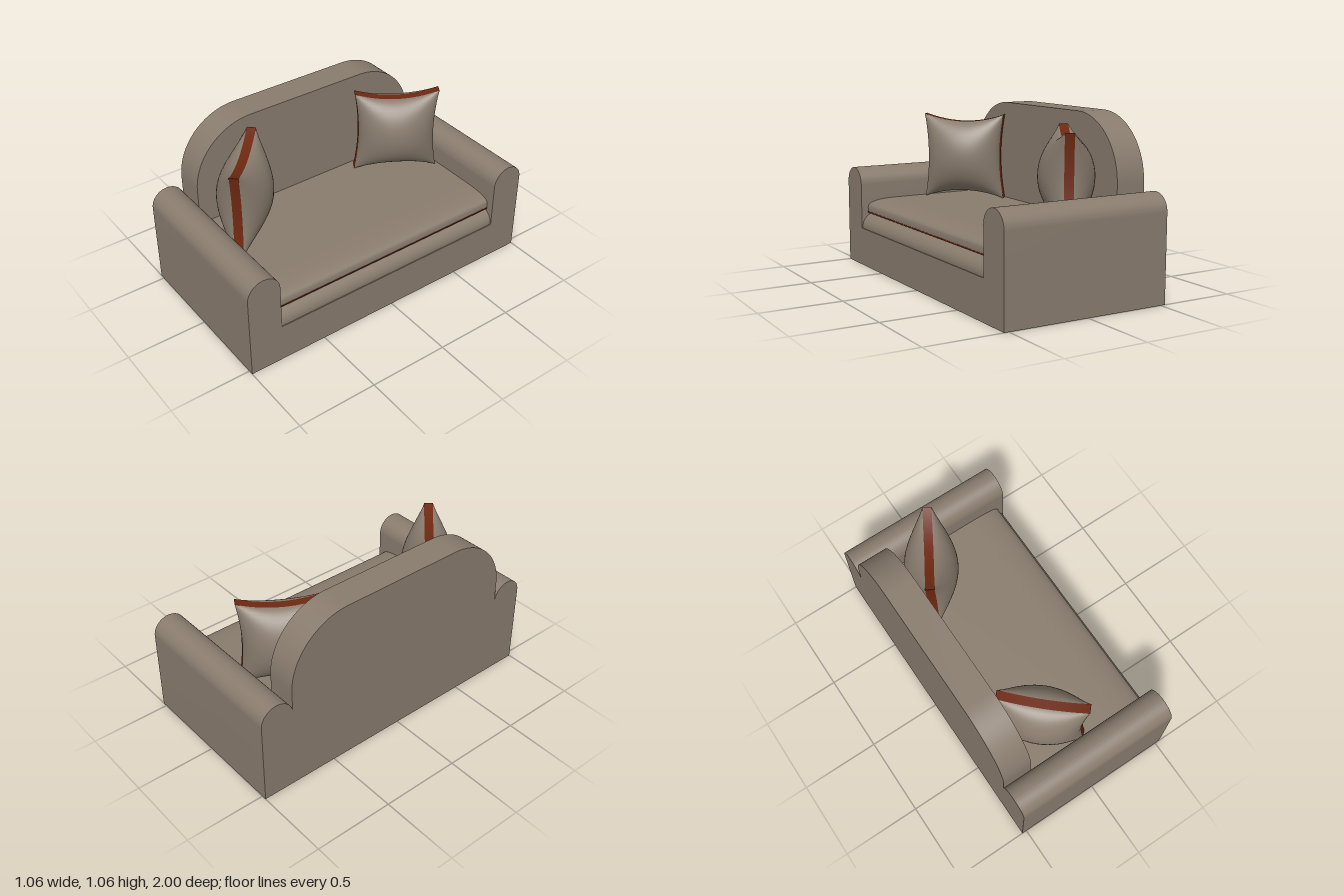
import * as THREE from 'three';
import { toCreasedNormals } from 'three/addons/utils/BufferGeometryUtils.js';

const fabric = new THREE.MeshStandardMaterial({ color: 0x897c6e });
fabric.name = 'taupe fabric';
const trim = new THREE.MeshStandardMaterial({ color: 0x6e2810 });
trim.name = 'rust trim';

const HALF_DEPTH = 0.53, INNER = 0.79, BASE = 0.245;

function addMesh(parent, name, geometry, material) {
  const mesh = new THREE.Mesh(geometry, material);
  mesh.name = name;
  parent.add(mesh);
  return mesh;
}

function extrude(shape, depth) {
  const geo = new THREE.ExtrudeGeometry(shape, { depth, bevelEnabled: false, curveSegments: 24 });
  return toCreasedNormals(geo, 0.6);
}

// Side-to-side outline (z, y) swept along x
function sweepX(shape, x0, x1) {
  return extrude(shape, x1 - x0).rotateY(Math.PI / 2).translate(x0, 0, 0);
}

// Front-to-back outline (x, y) swept across the seat
function sweepZ(shape) {
  const w = INNER - 0.002;
  return extrude(shape, 2 * w).translate(0, 0, -w);
}

// Base and both round-topped arms in one outline
function frameShape() {
  const r = (1 - INNER) / 2, mid = 1 - r, spring = 0.53;
  const s = new THREE.Shape();
  s.moveTo(-1, 0);
  s.lineTo(1, 0);
  s.lineTo(1, spring);
  s.absarc(mid, spring, r, 0, Math.PI, false);
  s.lineTo(INNER, BASE);
  s.lineTo(-INNER, BASE);
  s.lineTo(-INNER, spring);
  s.absarc(-mid, spring, r, 0, Math.PI, false);
  s.lineTo(-1, 0);
  return s;
}

// Backrest with large rounded shoulders
function backShape() {
  const r = 0.39, top = 1.06;
  const s = new THREE.Shape();
  s.moveTo(-INNER, BASE);
  s.lineTo(INNER, BASE);
  s.lineTo(INNER, top - r);
  s.absarc(INNER - r, top - r, r, 0, Math.PI / 2, false);
  s.lineTo(r - INNER, top);
  s.absarc(r - INNER, top - r, r, Math.PI / 2, Math.PI, false);
  s.lineTo(-INNER, BASE);
  return s;
}

// Lower seat pad, its front swelling outwards
function lowerPadShape() {
  const s = new THREE.Shape();
  s.moveTo(-0.34, BASE);
  s.lineTo(0.525, BASE);
  s.bezierCurveTo(0.53, 0.29, 0.5, 0.325, 0.455, 0.346);
  s.lineTo(-0.34, 0.346);
  return s;
}

// Upper seat pad, its top easing down to the front
function upperPadShape() {
  const s = new THREE.Shape();
  s.moveTo(-0.34, 0.354);
  s.lineTo(0.485, 0.354);
  s.lineTo(0.485, 0.385);
  s.bezierCurveTo(0.48, 0.415, 0.42, 0.432, 0.28, 0.432);
  s.lineTo(-0.34, 0.432);
  return s;
}

// Pillow outline with pinched sides; u and v run from -1 to 1
const PW = 0.265, PH = 0.275, RIM = 0.0275, N = 24;
const ease = (t) => Math.sin(t * Math.PI / 2);
function pillowPoint(u, v) {
  return [
    u * PW * (1 - 0.1 * (1 - v * v)),
    v * PH * (1 - 0.17 * (1 - u * u)),
  ];
}

function pillowFace() {
  const geo = new THREE.PlaneGeometry(2, 2, N, N);
  const p = geo.attributes.position;
  for (let i = 0; i < p.count; i++) {
    const u = ease(p.getX(i)), v = ease(p.getY(i));
    const swell = Math.max(0, (1 - u * u) * (1 - v * v));
    p.setXYZ(i, ...pillowPoint(u, v), RIM + 0.138 * Math.pow(swell, 0.6));
  }
  geo.computeVertexNormals();
  return geo;
}

// One side of the trim band; turn counts quarter turns from the top
function pillowBand(turn) {
  const geo = new THREE.PlaneGeometry(2, 2, N, 1);
  const p = geo.attributes.position;
  for (let i = 0; i < p.count; i++) {
    let u = ease(p.getX(i)), v = 1;
    for (let k = 0; k < turn; k++) [u, v] = [-v, u];
    p.setXYZ(i, ...pillowPoint(u, v), -p.getY(i) * RIM);
  }
  geo.computeVertexNormals();
  return geo;
}

function pillow(name, x, z, angle) {
  const group = new THREE.Group();
  group.name = name;
  const face = pillowFace();
  addMesh(group, 'pillowFront', face, fabric);
  addMesh(group, 'pillowBack', face, fabric).rotation.y = Math.PI;
  for (let turn = 0; turn < 4; turn++) addMesh(group, 'pillowTrim', pillowBand(turn), trim);
  group.position.set(x, 0.705, z);
  group.rotation.y = angle;
  return group;
}

export function createModel() {
  const sofa = new THREE.Group();
  sofa.name = 'sofa';

  addMesh(sofa, 'baseAndArms', sweepX(frameShape(), -HALF_DEPTH, HALF_DEPTH), fabric);
  addMesh(sofa, 'backrest', sweepX(backShape(), -HALF_DEPTH, -0.34), fabric);
  addMesh(sofa, 'lowerSeatPad', sweepZ(lowerPadShape()), fabric);
  addMesh(sofa, 'upperSeatPad', sweepZ(upperPadShape()), fabric);

  // Trim line between the seat pads
  const piping = addMesh(sofa, 'seatTrim', new THREE.BoxGeometry(0.826, 0.008, 2 * INNER - 0.004), trim);
  piping.position.set(0.074, 0.35, 0);

  // Two pillows turned towards the middle of the seat
  sofa.add(pillow('pillowNear', -0.13, 0.588, -0.75));
  sofa.add(pillow('pillowFar', -0.155, -0.553, 1.035));
  return sofa;
}
